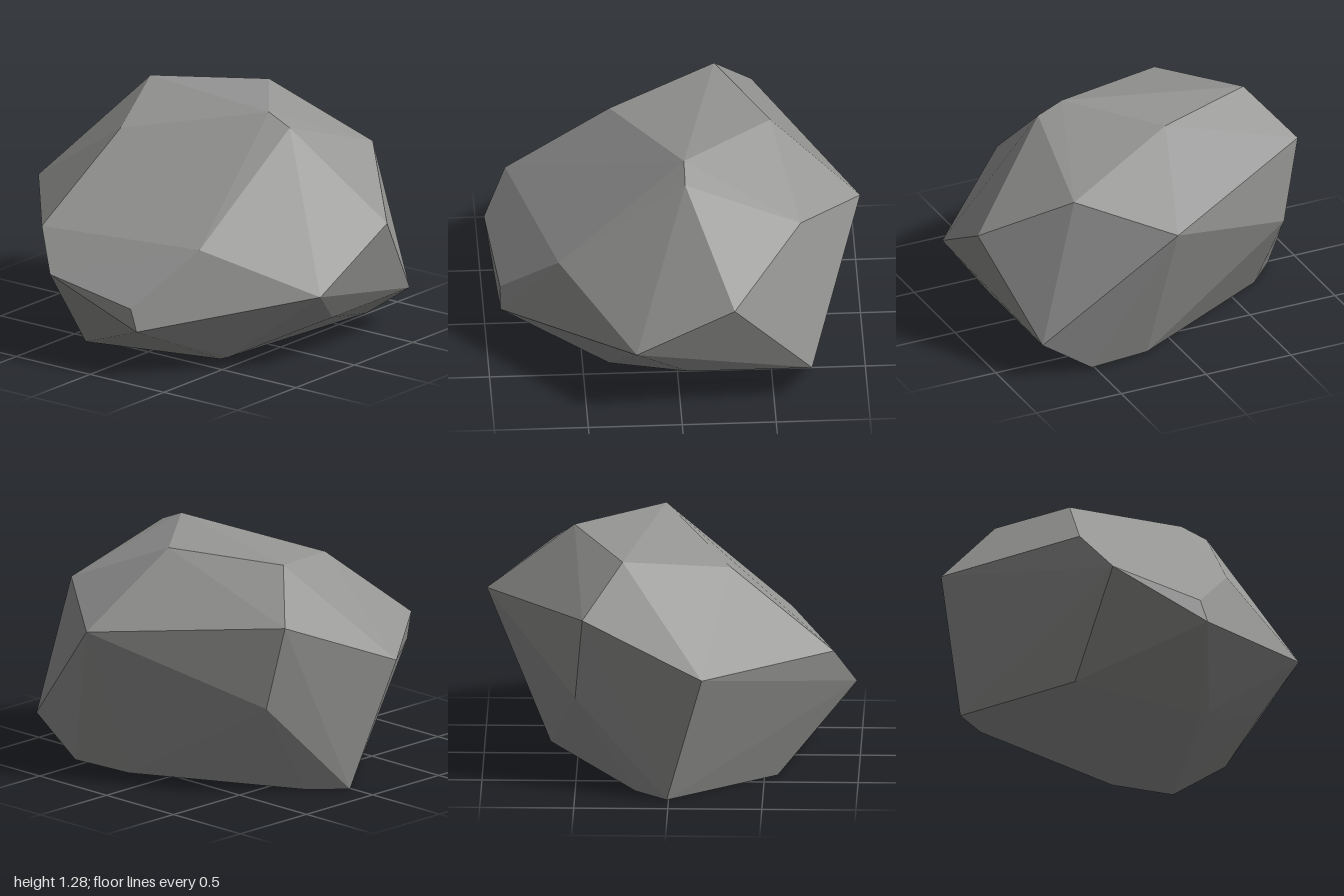
import * as THREE from 'three';
import { ConvexGeometry } from 'three/addons/geometries/ConvexGeometry.js';

// Faceted boulder: the convex hull of its corner points.
export function createModel() {
  const group = new THREE.Group();
  group.name = 'boulder';

  const corners = [
    // crown
    [-0.58, 1.24, -0.25], [0.01, 1.27, -0.52], [0.39, 1.28, -0.04],
    [0.53, 1.22, -0.04], [-0.33, 1.14, 0.32],
    // back shoulder
    [0.16, 0.87, -0.99], [-0.80, 0.98, -0.46], [0.61, 1.01, -0.65], [-0.70, 0.52, -0.50],
    // sides
    [-1.0, 0.71, 0.18], [1.0, 0.72, -0.28], [0.96, 0.43, 0.24],
    [0.82, 0.22, -0.70], [0.82, 0.22, -0.04],
    // front
    [-0.43, 0.71, 0.87], [-0.28, 0.50, 0.99], [0.22, 0.39, 0.93],
    [0.26, 0.27, 0.93], [0.45, 0.69, 0.63],
    // foot
    [-0.37, 0, 0.57], [0.38, 0, 0.36], [0.43, 0.02, 0.36], [0.53, 0.02, -0.70],
    [0.18, 0.01, -0.65], [-0.68, 0, -0.18], [-0.84, 0, -0.01],
  ].map((p) => new THREE.Vector3(...p));

  const stone = new THREE.MeshStandardMaterial({ color: 0x969795 });
  stone.name = 'grey stone';
  stone.flatShading = true;

  const rock = new THREE.Mesh(new ConvexGeometry(corners), stone);
  rock.name = 'rock';
  group.add(rock);
  return group;
}
